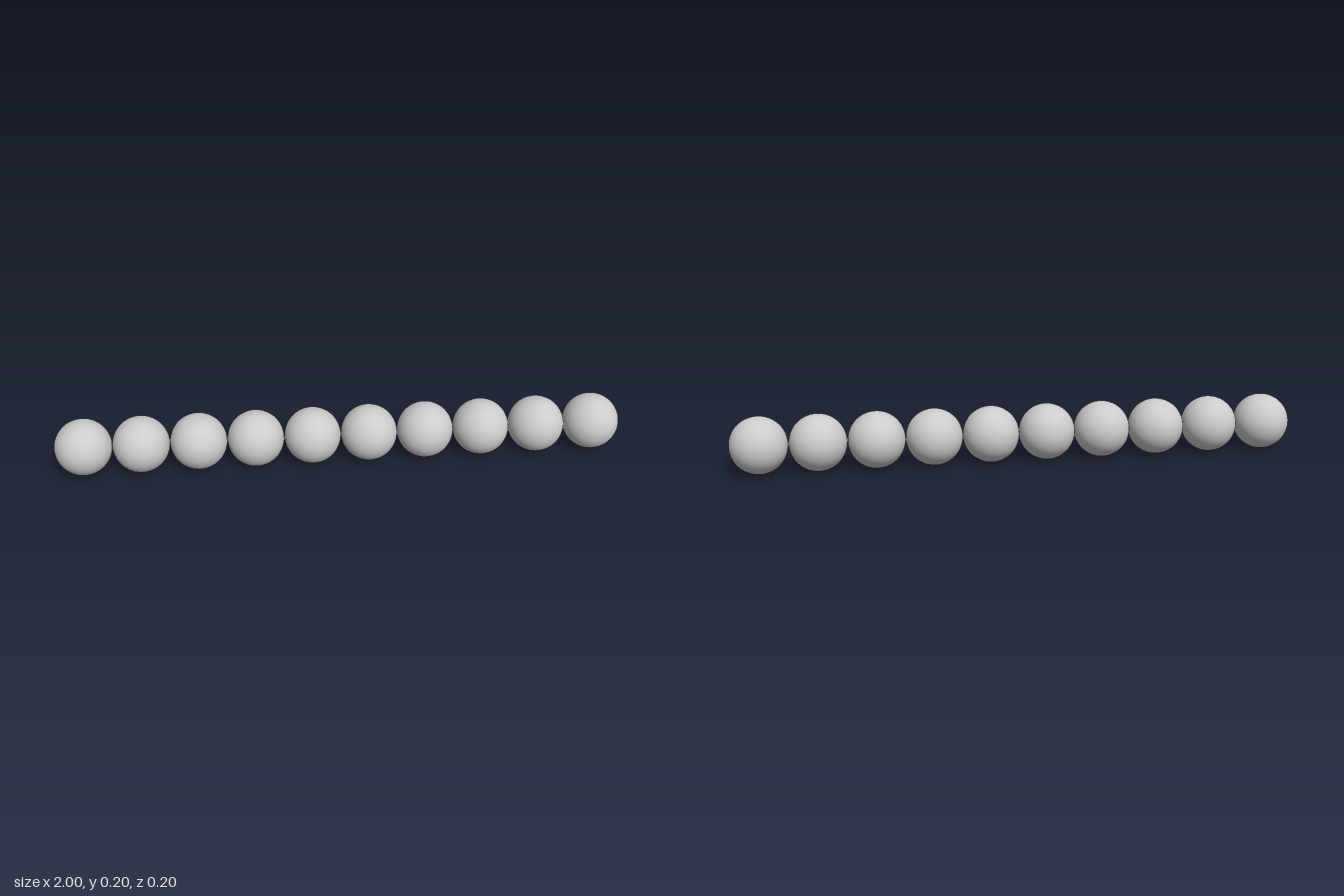
import * as THREE from 'three';

const COUNT = 10;
const RADIUS = 0.1;

export function createModel() {
  const model = new THREE.Group();
  model.name = 'beadRow';

  const material = new THREE.MeshStandardMaterial({ color: 0xcccccc });
  const geometry = new THREE.SphereGeometry(RADIUS, 48, 32);

  // Row of touching beads along x
  for (let i = 0; i < COUNT; i++) {
    const bead = new THREE.Mesh(geometry, material);
    bead.name = `bead${i + 1}`;
    bead.position.set((2 * i + 1 - COUNT) * RADIUS, RADIUS, 0);
    model.add(bead);
  }

  return model;
}
